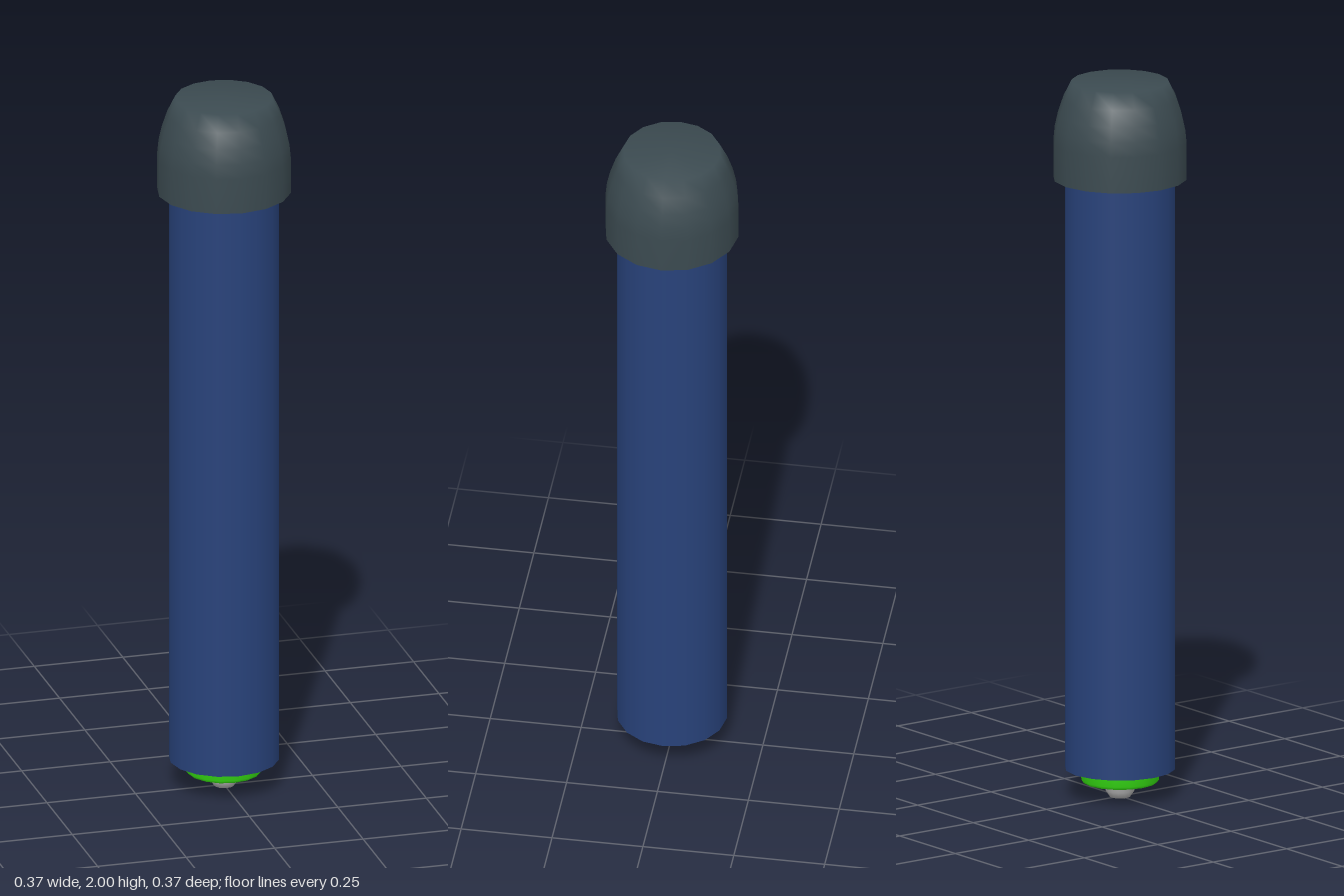
import * as THREE from 'three';

const SIDES = 16;

export function createModel() {
  const material = (name, color) => {
    const m = new THREE.MeshStandardMaterial({ color });
    m.name = name;
    return m;
  };
  const blue = material('navy blue', 0x28427a);
  const slate = material('dark slate', 0x3b4a50);
  const green = material('bright green', 0x32d011);
  const grey = material('light grey', 0xb0b0b0);

  const model = new THREE.Group();
  model.name = 'marker';

  // Each section is a smooth profile, listed bottom to top; edges between sections stay sharp
  function turned(name, mat, sections) {
    const group = new THREE.Group();
    group.name = name;
    for (const section of sections) {
      const points = section.map(([r, y]) => new THREE.Vector2(r, y));
      const mesh = new THREE.Mesh(new THREE.LatheGeometry(points, SIDES), mat);
      mesh.name = name;
      group.add(mesh);
    }
    model.add(group);
  }

  // Long barrel with a closed lower end
  turned('barrel', blue, [
    [[0, 0.08], [0.151, 0.08]],
    [[0.151, 0.08], [0.151, 1.76]],
  ]);

  // Rounded cap, wider than the barrel, with a flat underside
  turned('cap', slate, [
    [[0, 1.73], [0.183, 1.73]],
    [[0.183, 1.73], [0.183, 1.83], [0.179, 1.87], [0.17, 1.91],
      [0.155, 1.955], [0.133, 2], [0, 2]],
  ]);

  // Green collar under the barrel
  turned('collar', green, [
    [[0, 0.042], [0.101, 0.042]],
    [[0.101, 0.042], [0.107, 0.05], [0.107, 0.085]],
  ]);

  // Small tapered tip
  turned('tip', grey, [
    [[0, 0], [0.028, 0], [0.04, 0.018], [0.042, 0.045]],
  ]);

  return model;
}
